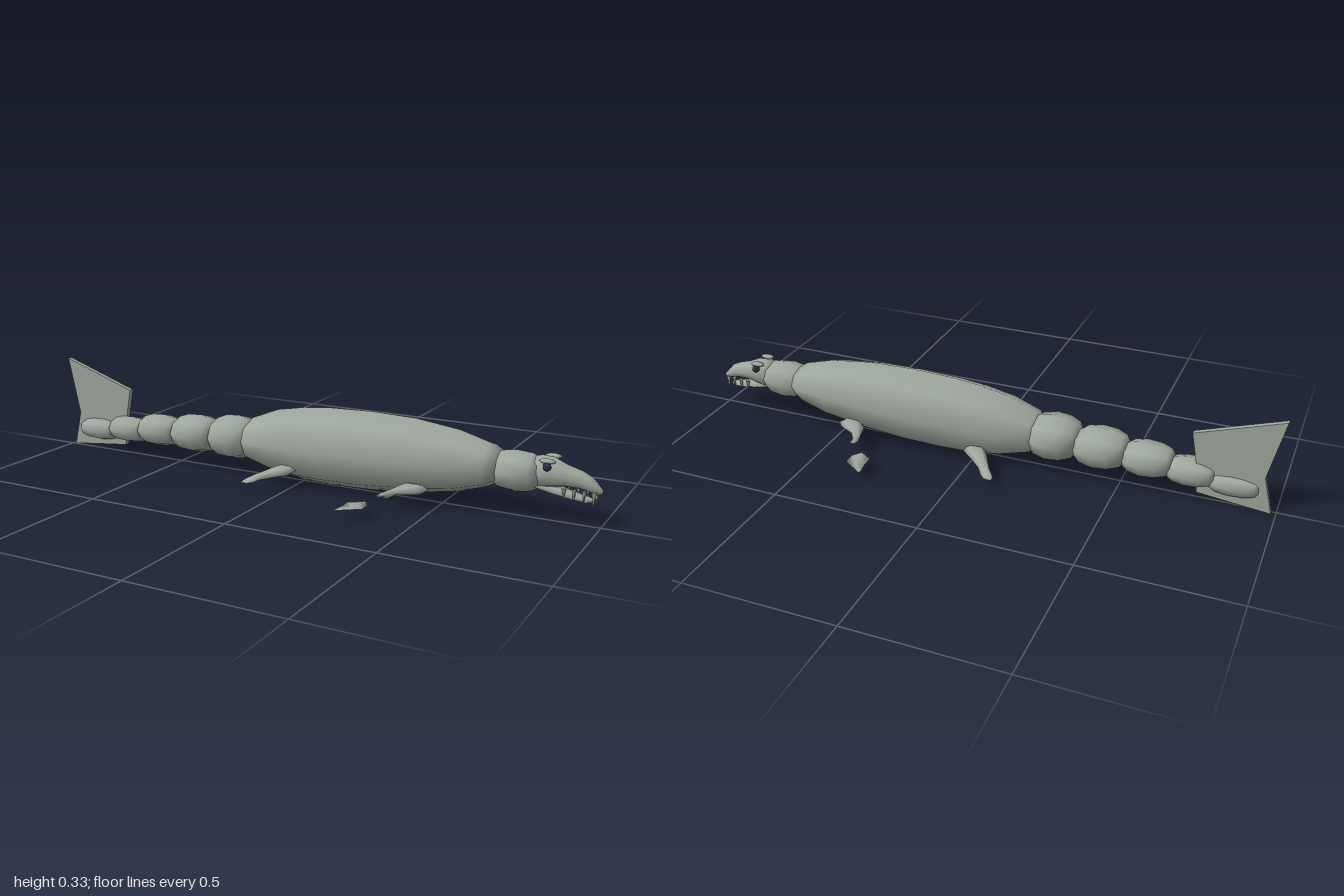
import * as THREE from 'three';

const skin = new THREE.MeshStandardMaterial({ color: 0x9fa89e });
skin.name = 'greyGreenSkin';
const dark = new THREE.MeshStandardMaterial({ color: 0x2b3240 });
dark.name = 'darkEye';

// Closed smooth loft. Each ring is [x, y, z, halfU, halfV], in the plane across the axis.
// Axis 'x': U is depth and V is height. Axis 'z': U is width and V is height.
function loft(rings, axis, sides = 8) {
  const k = axis === 'x' ? 0 : 2;
  const r = [...rings].sort((a, b) => a[k] - b[k]);
  const pos = [], idx = [], n = r.length;
  for (const [x, y, z, u, v] of r) {
    for (let j = 0; j < sides; j++) {
      const a = (j / sides) * Math.PI * 2, c = Math.cos(a), s = Math.sin(a);
      if (axis === 'x') pos.push(x, y + c * v, z + s * u);
      else pos.push(x + c * u, y + s * v, z);
    }
  }
  pos.push(...r[0].slice(0, 3), ...r[n - 1].slice(0, 3));
  for (let j = 0; j < sides; j++) {
    const m = (j + 1) % sides, last = (n - 1) * sides;
    for (let i = 0; i < n - 1; i++) {
      const a = i * sides + j, b = i * sides + m;
      idx.push(a, b, a + sides, b, b + sides, a + sides);
    }
    idx.push(n * sides, m, j, n * sides + 1, last + j, last + m);
  }
  const g = new THREE.BufferGeometry();
  g.setAttribute('position', new THREE.Float32BufferAttribute(pos, 3));
  g.setIndex(idx);
  g.computeVertexNormals();
  return g;
}

// Ring across x from its top, bottom and half depth
const ring = ([x, top, bottom, rz]) => [x, (top + bottom) / 2, 0, rz, (top - bottom) / 2];

export function createModel() {
  const model = new THREE.Group();
  model.name = 'seaReptile';
  const add = (name, geometry, material = skin, parent = model) => {
    const mesh = new THREE.Mesh(geometry, material);
    mesh.name = name;
    parent.add(mesh);
    return mesh;
  };

  // Long barrel body
  add('body', loft([
    [-0.225, 0.165, 0.08, 0.055], [-0.2, 0.195, 0.05, 0.078], [-0.1, 0.235, 0.018, 0.098],
    [0, 0.254, 0.004, 0.108], [0.1, 0.264, 0, 0.113], [0.25, 0.269, 0.005, 0.116],
    [0.4, 0.265, 0.02, 0.112], [0.55, 0.246, 0.045, 0.1], [0.65, 0.218, 0.078, 0.084],
    [0.685, 0.195, 0.1, 0.065],
  ].map(ring), 'x'));

  // Rounded tail segments, shrinking towards the end: [back, front, top, bottom, half depth]
  const tail = new THREE.Group();
  tail.name = 'tail';
  model.add(tail);
  [
    [-0.355, -0.19, 0.197, 0.042, 0.095], [-0.515, -0.345, 0.18, 0.045, 0.087],
    [-0.665, -0.505, 0.162, 0.047, 0.073], [-0.8, -0.65, 0.137, 0.043, 0.06],
    [-0.94, -0.785, 0.112, 0.034, 0.045],
  ].forEach(([x0, x1, top, bottom, rz], i) => {
    const mid = (top + bottom) / 2, h = (top - bottom) / 2;
    const profile = [[0, 0.5], [0.08, 0.76], [0.3, 0.95], [0.6, 1], [0.85, 0.88], [1, 0.6]];
    add('tailSegment' + (i + 1), loft(profile.map(([t, s]) =>
      [x0 + (x1 - x0) * t, mid, 0, rz * s, h * s]), 'x'), skin, tail);
  });

  // Flat upright tail fin
  const fin = new THREE.Shape([
    [-1, 0.327], [-0.955, 0.125], [-0.985, 0.002], [-0.75, 0.026], [-0.742, 0.12], [-0.72, 0.234],
  ].map(([x, y]) => new THREE.Vector2(x, y)));
  add('tailFin', new THREE.ExtrudeGeometry(fin, { depth: 0.018, bevelEnabled: false })
    .translate(0, 0, -0.018), skin, tail);

  // Neck collar
  add('neck', loft([
    [0.665, 0.19, 0.1, 0.05], [0.69, 0.2, 0.08, 0.064], [0.735, 0.207, 0.074, 0.069],
    [0.785, 0.203, 0.082, 0.063], [0.812, 0.185, 0.1, 0.045],
  ].map(ring), 'x'));

  // Skull with tapering snout, and lower jaw
  const head = new THREE.Group();
  head.name = 'head';
  model.add(head);
  add('skull', loft([
    [0.785, 0.195, 0.1, 0.04], [0.815, 0.202, 0.098, 0.046], [0.85, 0.2, 0.104, 0.047],
    [0.89, 0.182, 0.112, 0.036], [0.935, 0.169, 0.112, 0.03], [0.965, 0.154, 0.105, 0.027],
    [0.985, 0.133, 0.1, 0.02], [0.998, 0.118, 0.104, 0.01],
  ].map(ring), 'x'), skin, head);
  add('lowerJaw', loft([
    [0.8, 0.13, 0.098, 0.034], [0.85, 0.115, 0.088, 0.033], [0.91, 0.1, 0.077, 0.026],
    [0.955, 0.092, 0.072, 0.02], [0.972, 0.088, 0.075, 0.01],
  ].map(ring), 'x'), skin, head);

  for (const s of [1, -1]) {
    const side = s > 0 ? 'Front' : 'Back';

    // Eye and brow
    add('eye' + side, new THREE.SphereGeometry(0.013, 10, 8)
      .translate(0.84, 0.178, s * 0.043), dark, head);
    add('brow' + side, new THREE.SphereGeometry(1, 8, 6).scale(0.026, 0.008, 0.013)
      .translate(0.838, 0.193, s * 0.034), skin, head);

    // Hanging teeth: [x, z, length]
    [[0.89, 0.029, 0.034], [0.92, 0.027, 0.04], [0.95, 0.025, 0.036], [0.978, 0.02, 0.056]]
      .forEach(([x, z, len], i) => add('tooth' + side + (i + 1),
        new THREE.ConeGeometry(0.008, len, 5).rotateX(Math.PI)
          .translate(x, 0.114 - len / 2, s * z), skin, head));

    // Fore flipper: rounded arm running into a thin blade
    add('foreFlipper' + side, loft([
      [0.445, 0.062, s * 0.065, 0.03, 0.012], [0.435, 0.063, s * 0.095, 0.048, 0.018],
      [0.42, 0.063, s * 0.12, 0.042, 0.014], [0.392, 0.06, s * 0.145, 0.018, 0.009],
      [0.378, 0.056, s * 0.175, 0.012, 0.012], [0.372, 0.063, s * 0.21, 0.01, 0.004],
    ], 'z', 6), skin);

    // Loose paddle tip beyond the fore flipper
    add('foreFlipperTip' + side, loft([
      [0.33, 0.041, s * 0.222, 0.006, 0.002], [0.32, 0.041, s * 0.248, 0.033, 0.006],
      [0.32, 0.041, s * 0.29, 0.034, 0.005], [0.283, 0.04, s * 0.336, 0.004, 0.001],
    ], 'z', 4), skin);

    // Hind flipper swept back
    add('hindFlipper' + side, loft([
      [-0.02, 0.06, s * 0.075, 0.035, 0.013], [-0.03, 0.056, s * 0.105, 0.042, 0.016],
      [-0.058, 0.05, s * 0.135, 0.03, 0.012], [-0.085, 0.043, s * 0.165, 0.021, 0.01],
      [-0.105, 0.034, s * 0.19, 0.022, 0.008], [-0.113, 0.031, s * 0.206, 0.013, 0.003],
    ], 'z', 6), skin);
  }
  return model;
}
